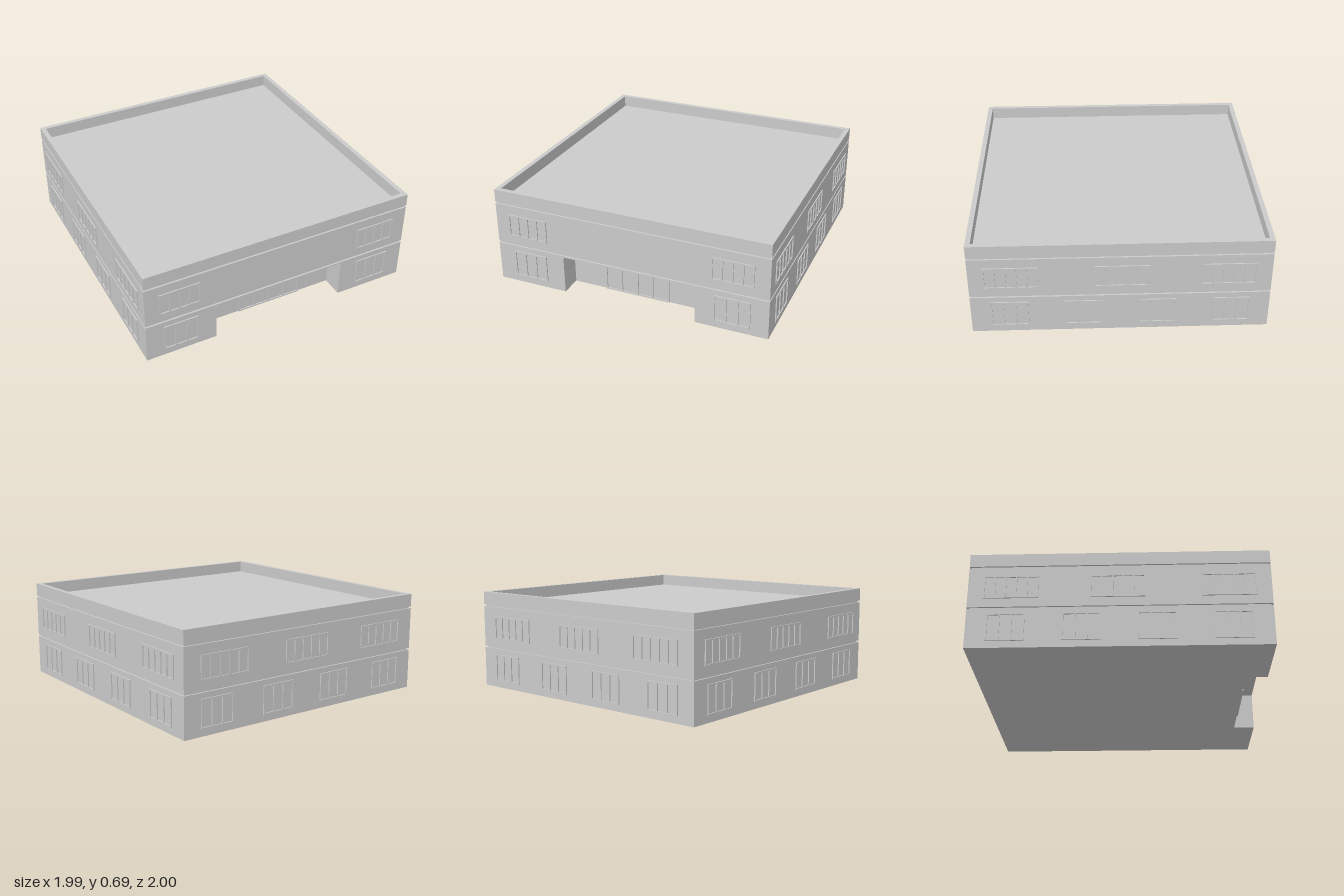
import * as THREE from 'three';

const HX = 0.985, HZ = 0.992;      // half width and half depth of the walls
const RECESS = 0.48, BACK = 0.84;  // entrance recess half width and its back wall z
const grey = new THREE.MeshStandardMaterial({ color: 0xcccccc });

function box(name, w, h, d, x, y, z) {
  const m = new THREE.Mesh(new THREE.BoxGeometry(w, h, d), grey);
  m.name = name;
  m.position.set(x, y, z);
  return m;
}

// Extrudes a floor plan (x, z) upwards from y0 to y1
function storey(name, plan, y0, y1, hole) {
  const toV = ([x, z]) => new THREE.Vector2(x, -z);
  const shape = new THREE.Shape(plan.map(toV));
  if (hole) shape.holes.push(new THREE.Path(hole.map(toV)));
  const geo = new THREE.ExtrudeGeometry(shape, { depth: y1 - y0, bevelEnabled: false });
  geo.rotateX(-Math.PI / 2);
  const m = new THREE.Mesh(geo, grey);
  m.name = name;
  m.position.y = y0;
  return m;
}

const rect = (inset) => {
  const x = HX - inset, z = HZ - inset;
  return [[-x, z], [x, z], [x, -z], [-x, -z]];
};

// Barred frame in the xy plane, facing +z, centred on x = 0
function frame(name, width, y0, y1, panes, bar = 0.01, sill = true) {
  const g = new THREE.Group();
  g.name = name;
  const depth = 0.016, h = y1 - y0, cy = (y0 + y1) / 2;
  for (let i = 0; i <= panes; i++) {
    const x = -width / 2 + bar / 2 + (i * (width - bar)) / panes;
    g.add(box('upright', bar, h, depth, x, cy, 0));
  }
  g.add(box('topRail', width, bar, depth, 0, y1 - bar / 2, 0));
  if (sill) g.add(box('bottomRail', width, bar, depth, 0, y0 + bar / 2, 0));
  return g;
}

const upper = (panes, width) => frame('upperWindow', width, 0.357, 0.52, panes);
const lower = () => frame('lowerWindow', 0.25, 0.048, 0.243, 3);

// Places a row of windows along one wall
function wall(name, angle, distance, upperXs, lowerXs, panes, width) {
  const g = new THREE.Group();
  g.name = name;
  const add = (w, x) => { w.position.set(x, 0, distance); g.add(w); };
  upperXs.forEach((x) => add(upper(panes, width), x));
  lowerXs.forEach((x) => add(lower(), x));
  g.rotation.y = angle;
  return g;
}

export function createModel() {
  const model = new THREE.Group();
  model.name = 'building';

  // Ground storey with the entrance recess cut out of the front
  model.add(storey('groundStorey', [
    [-HX, HZ], [-RECESS, HZ], [-RECESS, BACK], [RECESS, BACK],
    [RECESS, HZ], [HX, HZ], [HX, -HZ], [-HX, -HZ],
  ], 0, 0.27));
  model.add(storey('groundStoreyTop', rect(0), 0.27, 0.281));

  // Upper storey between two shadow grooves
  model.add(storey('lowerGroove', rect(0.012), 0.281, 0.294));
  model.add(storey('upperStorey', rect(0), 0.294, 0.586));
  model.add(storey('upperGroove', rect(0.012), 0.586, 0.598));

  // Parapet around a sunken flat roof
  model.add(storey('parapet', rect(0), 0.598, 0.69, rect(0.034)));
  model.add(storey('roof', rect(0.02), 0.59, 0.605));

  // Windows on the four walls
  const three = [-0.715, 0.01, 0.71], four = [-0.735, -0.245, 0.245, 0.735];
  model.add(wall('frontWindows', 0, HZ, [-0.743, 0.736], [-0.737, 0.737], 4, 0.29));
  model.add(wall('backWindows', Math.PI, HZ, [-0.675, 0, 0.675], four, 5, 0.37));
  model.add(wall('rightWindows', Math.PI / 2, HX, three.map((x) => x), four, 5, 0.36));
  model.add(wall('leftWindows', -Math.PI / 2, HX, three.map((x) => -x), four, 5, 0.36));

  // Glazed entrance: four panels, the middle pair meeting at a double upright
  const door = frame('entranceDoor', 0.474, 0, 0.206, 4, 0.01);
  door.add(box('doorMeetingStile', 0.016, 0.206, 0.018, 0, 0.103, 0));
  door.position.z = BACK;
  model.add(door);

  return model;
}
